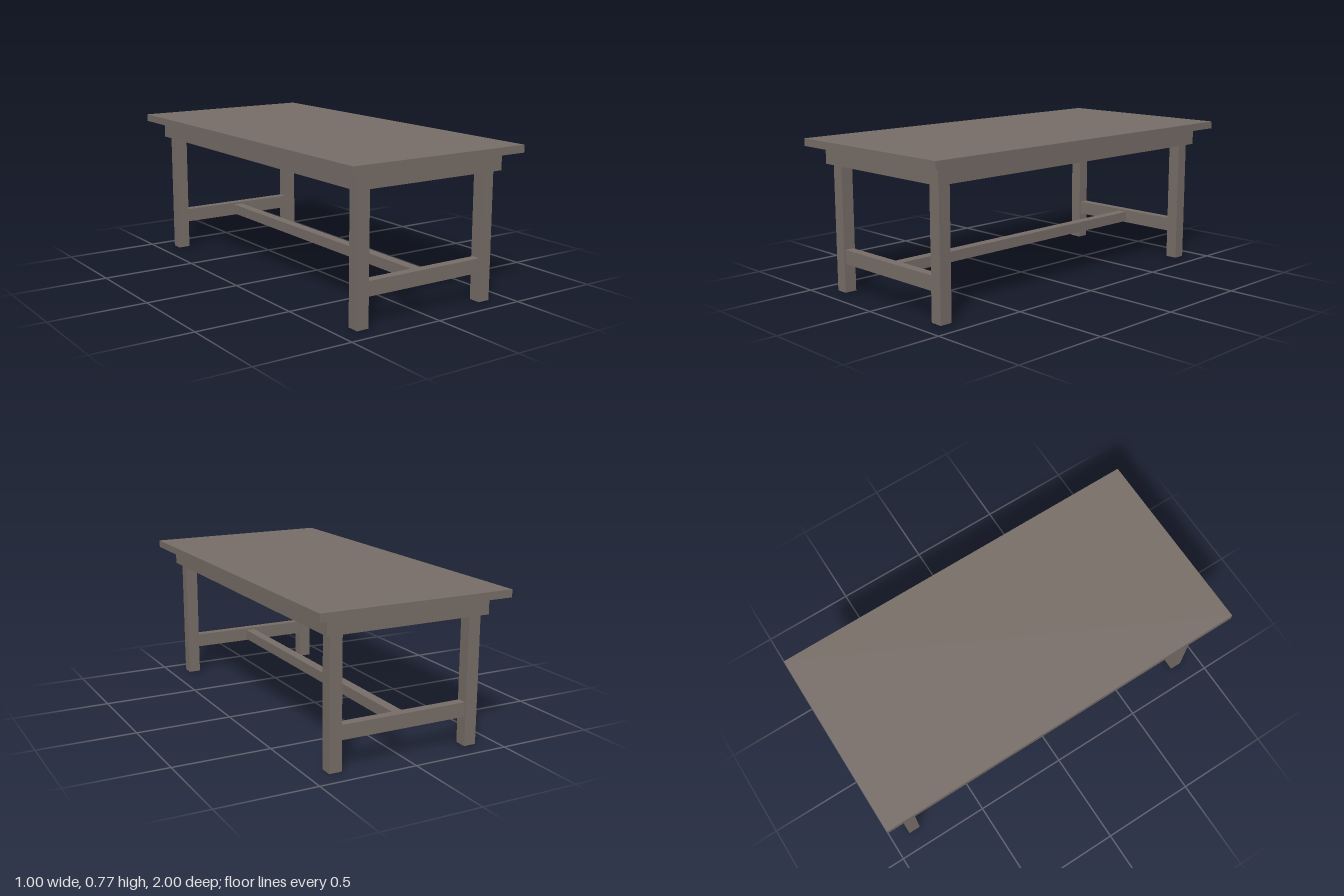
import * as THREE from 'three';

export function createModel() {
  const table = new THREE.Group();
  table.name = 'table';
  const wood = new THREE.MeshStandardMaterial({ color: 0x786e68 });
  wood.name = 'grey brown wood';

  // Adds a box spanning the given [min, max] ranges
  const board = (name, [x0, x1], [y0, y1], [z0, z1]) => {
    const mesh = new THREE.Mesh(new THREE.BoxGeometry(x1 - x0, y1 - y0, z1 - z0), wood);
    mesh.name = name;
    mesh.position.set((x0 + x1) / 2, (y0 + y1) / 2, (z0 + z1) / 2);
    table.add(mesh);
  };
  // Range between two distances from the centre, on one side of it
  const side = (s, inner, outer) => (s > 0 ? [inner, outer] : [-outer, -inner]);

  const topY = [0.735, 0.773];
  const apronY = [0.647, 0.735];

  board('tabletop', [-0.5, 0.5], topY, [-1, 1]);

  for (const s of [1, -1]) {
    const end = s > 0 ? 'front' : 'back';
    const flank = s > 0 ? 'left' : 'right';

    // Apron frame outside the legs
    board(end + 'Apron', [-0.427, 0.427], apronY, side(s, 0.902, 0.928));
    board(flank + 'Apron', side(s, 0.4, 0.427), apronY, [-0.902, 0.902]);

    // Cross stretcher between each pair of end legs
    board(end + 'Stretcher', [-0.336, 0.336], [0.147, 0.22], side(s, 0.846, 0.894));

    // Legs run up to the underside of the top
    for (const t of [1, -1]) {
      board(end + (t > 0 ? 'Left' : 'Right') + 'Leg',
        side(t, 0.336, 0.4), [0, 0.735], side(s, 0.838, 0.902));
    }
  }

  // Long stretcher joining the two cross stretchers
  board('longStretcher', [-0.026, 0.026], [0.155, 0.21], [-0.846, 0.846]);

  return table;
}
